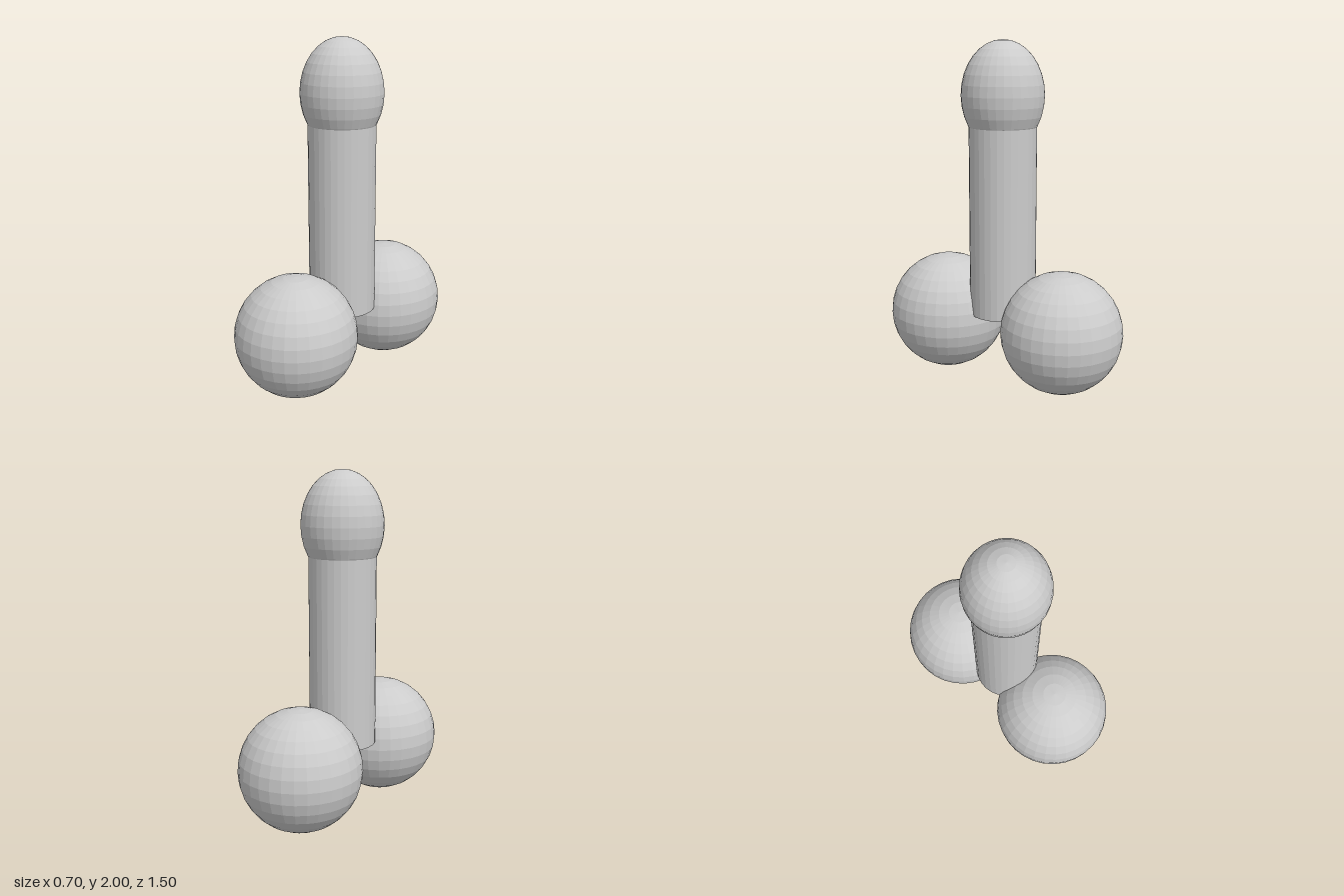
import * as THREE from 'three';

export function createModel() {
  const model = new THREE.Group();
  const material = new THREE.MeshStandardMaterial({ color: 0xcccccc, flatShading: true });

  function add(name, geometry, y, z = 0) {
    const mesh = new THREE.Mesh(geometry, material);
    mesh.name = name;
    mesh.position.set(0, y, z);
    model.add(mesh);
    return mesh;
  }

  // Upright column, closed at the bottom
  const bottom = 0.41, top = 1.52;
  add('column', new THREE.CylinderGeometry(0.195, 0.195, top - bottom, 32), (bottom + top) / 2);

  // Egg-shaped cap, its lower end sunk into the column
  add('cap', new THREE.SphereGeometry(1, 32, 16), 1.69).scale.set(0.238, 0.31, 0.238);

  // Matching base spheres in front and behind
  const radius = 0.352;
  for (const [name, side] of [['frontSphere', 1], ['backSphere', -1]]) {
    add(name, new THREE.SphereGeometry(radius, 32, 16), radius + 0.003, side * 0.397);
  }

  return model;
}
